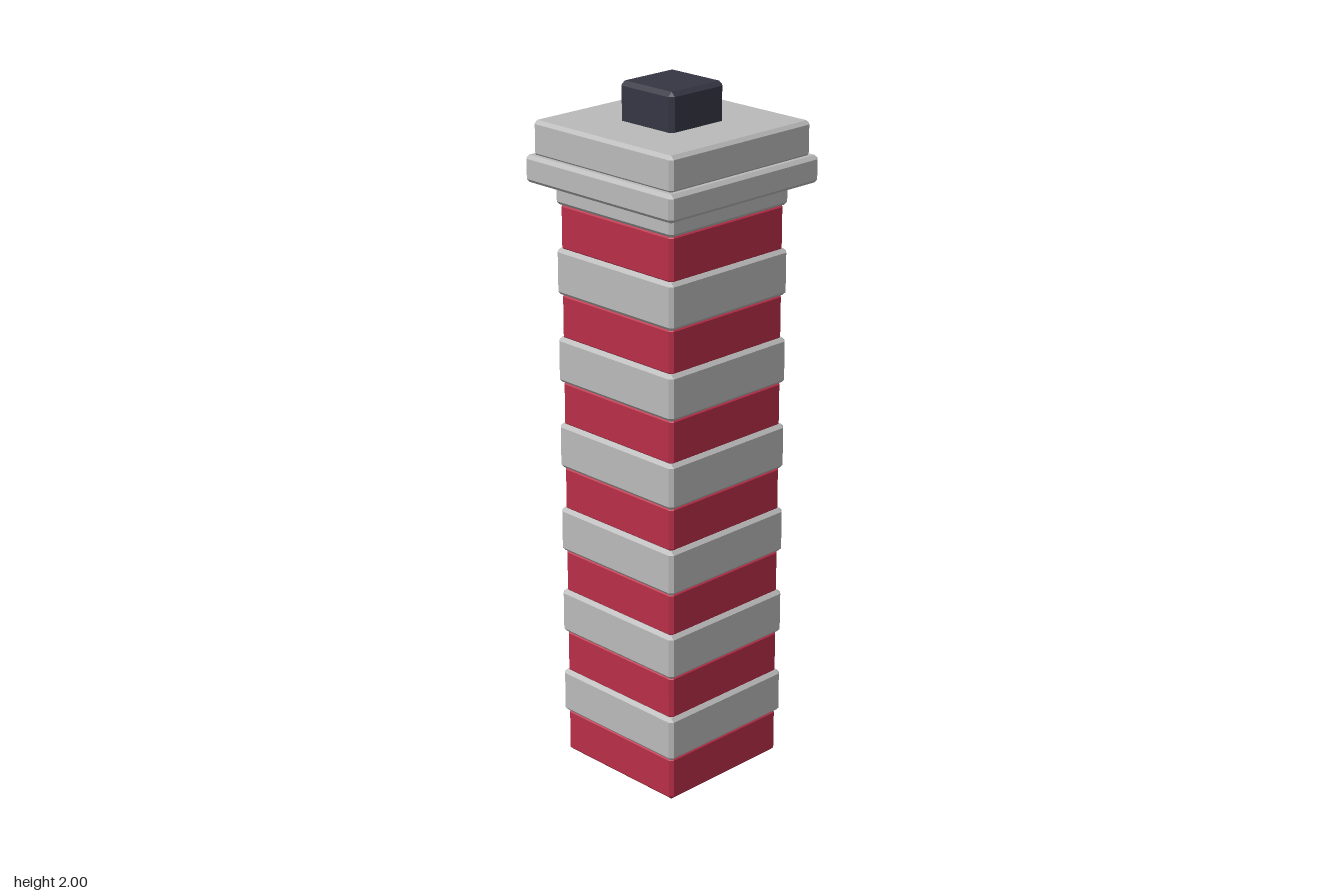
import * as THREE from 'three';
import { ConvexGeometry } from 'three/addons/geometries/ConvexGeometry.js';

// Square block with chamfered edges, from y0 to y1
function chamferedBlock(half, y0, y1, c) {
  const h = (y1 - y0) / 2;
  const points = [];
  for (const sx of [-1, 1]) for (const sy of [-1, 1]) for (const sz of [-1, 1]) {
    points.push(
      new THREE.Vector3(sx * half, sy * (h - c), sz * (half - c)),
      new THREE.Vector3(sx * (half - c), sy * h, sz * (half - c)),
      new THREE.Vector3(sx * (half - c), sy * (h - c), sz * half));
  }
  return new ConvexGeometry(points).translate(0, (y0 + y1) / 2, 0);
}

export function createModel() {
  const model = new THREE.Group();
  model.name = 'stripedChimney';
  const material = (name, color) => {
    const m = new THREE.MeshStandardMaterial({ color });
    m.name = name;
    return m;
  };
  const red = material('brickRed', 0xb92e48);
  const grey = material('stoneGrey', 0xbababa);
  const dark = material('darkSlate', 0x363644);

  const add = (name, mat, half, y0, y1, c = 0.01) => {
    const mesh = new THREE.Mesh(chamferedBlock(half, y0, y1, c), mat);
    mesh.name = name;
    model.add(mesh);
  };

  // Alternating shaft bands
  const pitch = 0.255;
  for (let i = 0; i < 7; i++) {
    const y = i * pitch;
    add(`redBand${i + 1}`, red, 0.215, y, y + 0.135);
    add(`greyBand${i + 1}`, grey, 0.224, y + 0.13, y + 0.262);
  }

  // Stepped crown and flue
  add('crownLedge', grey, 0.28, 1.722, 1.798);
  add('crownSlab', grey, 0.263, 1.793, 1.893);
  add('flue', dark, 0.1, 1.87, 2, 0.012);
  return model;
}
